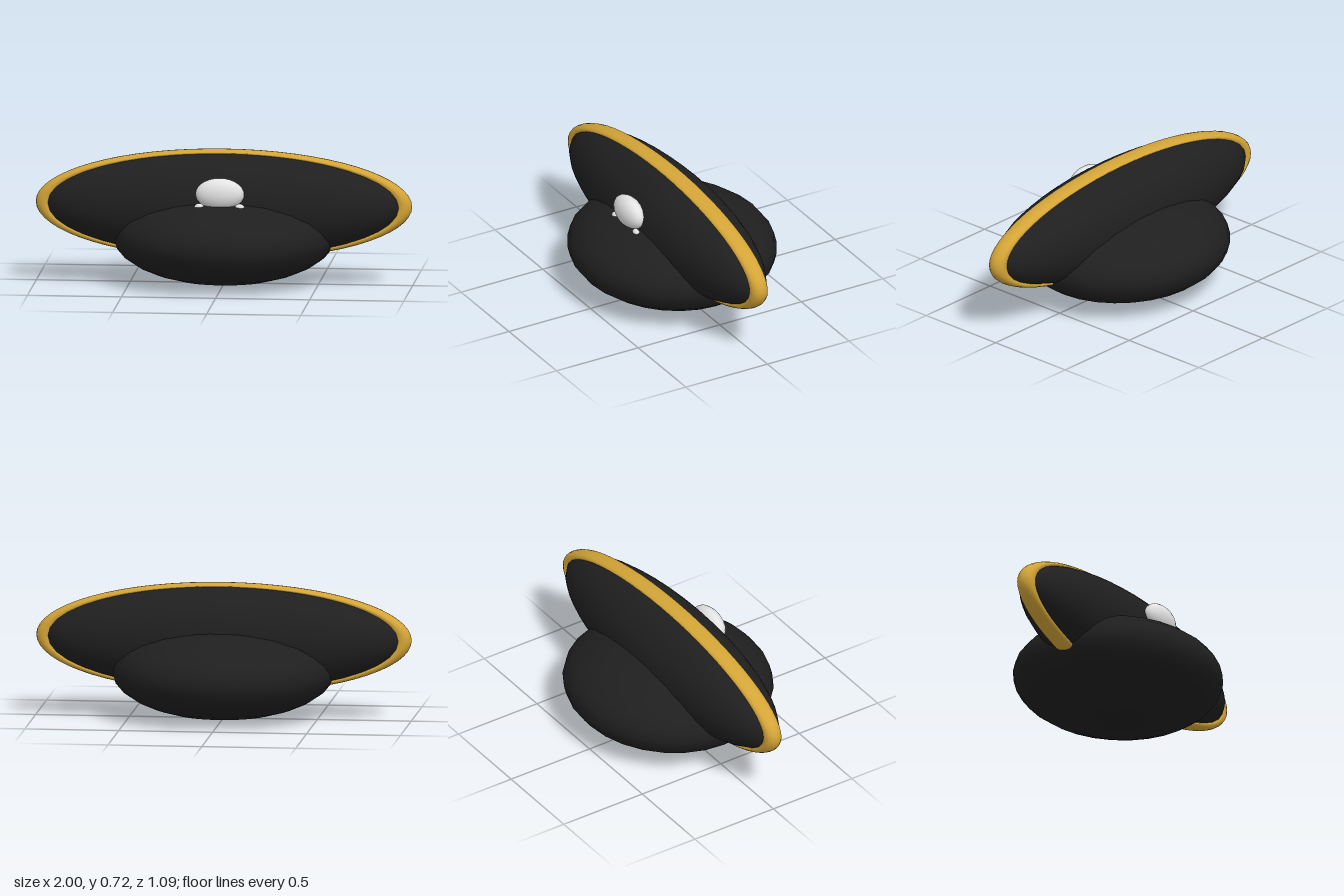
import * as THREE from 'three';

const mat = (name, color) => {
  const m = new THREE.MeshStandardMaterial({ color });
  m.name = name;
  return m;
};

export function createModel() {
  const black = mat('black felt', 0x1f1f1f);
  const gold = mat('gold trim', 0xd4a537);
  const bone = mat('bone white', 0xe3e3e3);
  const hat = new THREE.Group();
  hat.name = 'hat';

  const add = (name, geometry, material, position, scale = [1, 1, 1], parent = hat) => {
    const mesh = new THREE.Mesh(geometry, material);
    mesh.name = name;
    mesh.position.set(...position);
    mesh.scale.set(...scale);
    parent.add(mesh);
    return mesh;
  };
  const ball = (w, h) => new THREE.SphereGeometry(1, w, h);

  // Rounded crown and the wide upturned brim
  add('crown', ball(28, 14), black, [0, 0.253, 0], [0.59, 0.25, 0.545]);
  add('brim', ball(32, 20), black, [0, 0.43, 0.026], [0.95, 0.281, 0.24]);

  // Gold piping around the brim, a flattened ring
  add('brimTrim', new THREE.TorusGeometry(0.951, 0.049, 14, 64), gold,
    [0, 0.43, 0.026], [1, 0.295, 1]);

  // Skull badge on the front
  const badge = new THREE.Group();
  badge.name = 'badge';
  hat.add(badge);
  add('skull', ball(20, 14), bone, [0, 0.522, 0.262], [0.13, 0.085, 0.06], badge);

  // Crossed bones, mostly sunk into the crown, with their upper knobs showing
  for (const side of [-1, 1]) {
    const shaft = add('crossbone', new THREE.CylinderGeometry(0.013, 0.013, 0.26, 10), bone,
      [0, 0.38, 0.28], [1, 1, 1], badge);
    shaft.rotation.z = side * 0.99;
    for (const end of [-1, 1]) {
      add('boneKnob', ball(12, 8), bone,
        [side * end * 0.108, 0.38 + end * 0.071, 0.284], [0.027, 0.024, 0.018], badge);
    }
  }
  return hat;
}
